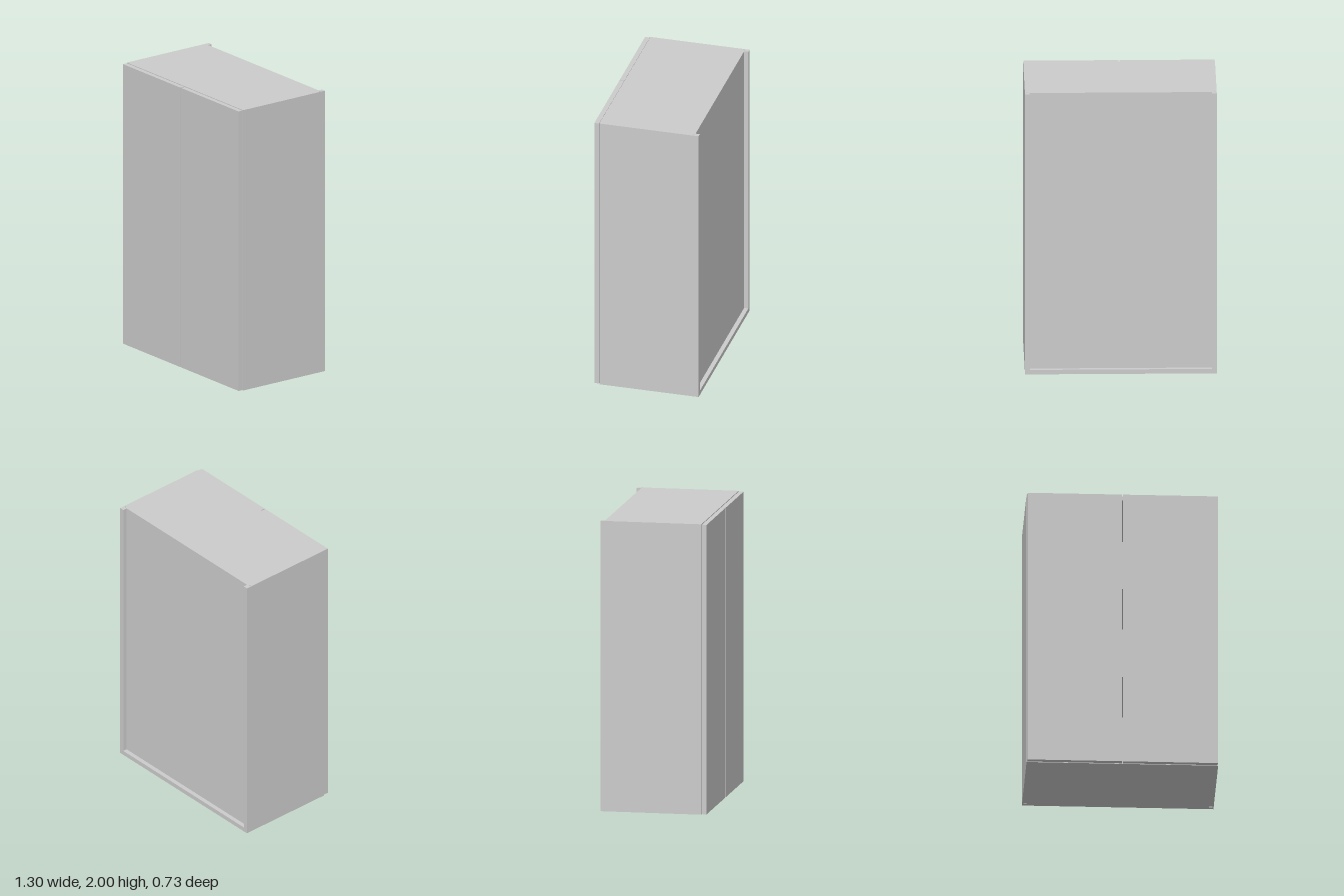
import * as THREE from 'three';

const W = 0.65;        // half width
const H = 2;           // height
const T = 0.032;       // board thickness
const BACK = -0.367;   // rear edge of the carcass
const FRONT = 0.331;   // front edge of the carcass
const PANEL = { z0: -0.337, z1: -0.327 }; // slot for the back panel

export function createModel() {
  const model = new THREE.Group();
  model.name = 'cabinet';
  const material = new THREE.MeshStandardMaterial({ color: 0xcccccc });

  // A board given by its minimum and maximum corners
  function board(name, [x0, y0, z0], [x1, y1, z1]) {
    const mesh = new THREE.Mesh(new THREE.BoxGeometry(x1 - x0, y1 - y0, z1 - z0), material);
    mesh.position.set((x0 + x1) / 2, (y0 + y1) / 2, (z0 + z1) / 2);
    mesh.name = name;
    model.add(mesh);
  }

  // Side boards: full-height section with a groove on the inner face
  const inner = W - T;
  const groove = W - 0.009;
  for (const [s, name] of [[1, 'leftSide'], [-1, 'rightSide']]) {
    // Shape y becomes -z once the extrusion is stood upright
    const outline = [
      [W, FRONT], [W, BACK], [inner, BACK], [inner, PANEL.z0], [groove, PANEL.z0],
      [groove, PANEL.z1], [inner, PANEL.z1], [inner, FRONT],
    ].map(([x, z]) => new THREE.Vector2(s * x, -z));
    const geometry = new THREE.ExtrudeGeometry(new THREE.Shape(outline), { depth: H, bevelEnabled: false });
    geometry.rotateX(-Math.PI / 2);
    const side = new THREE.Mesh(geometry, material);
    side.name = name;
    model.add(side);
  }

  // Top stops at the back panel, bottom runs to the rear edge
  board('topBoard', [-inner, H - T, PANEL.z1], [inner, H, FRONT]);
  board('bottomBoard', [-inner, 0, BACK], [inner, T, FRONT]);

  // Back panel set into the side grooves, leaving a small clearance
  const panelHalf = W - 0.016;
  board('backPanel', [-panelHalf, T, PANEL.z0], [panelHalf, H, PANEL.z1]);

  // Two shelves dividing the inside into equal bays
  const bay = (H - 4 * T) / 3;
  for (let i = 1; i <= 2; i++) {
    const y = T + i * bay + (i - 1) * T;
    board('shelf' + i, [-inner, y, PANEL.z1], [inner, y + T, FRONT - 0.01]);
  }

  // Pair of doors with a narrow gap between them
  const gap = 0.004, edge = W - 0.004;
  const z0 = FRONT + 0.003, z1 = 0.367;
  board('leftDoor', [gap, 0.003, z0], [edge, H - 0.003, z1]);
  board('rightDoor', [-edge, 0.003, z0], [-gap, H - 0.003, z1]);

  return model;
}
